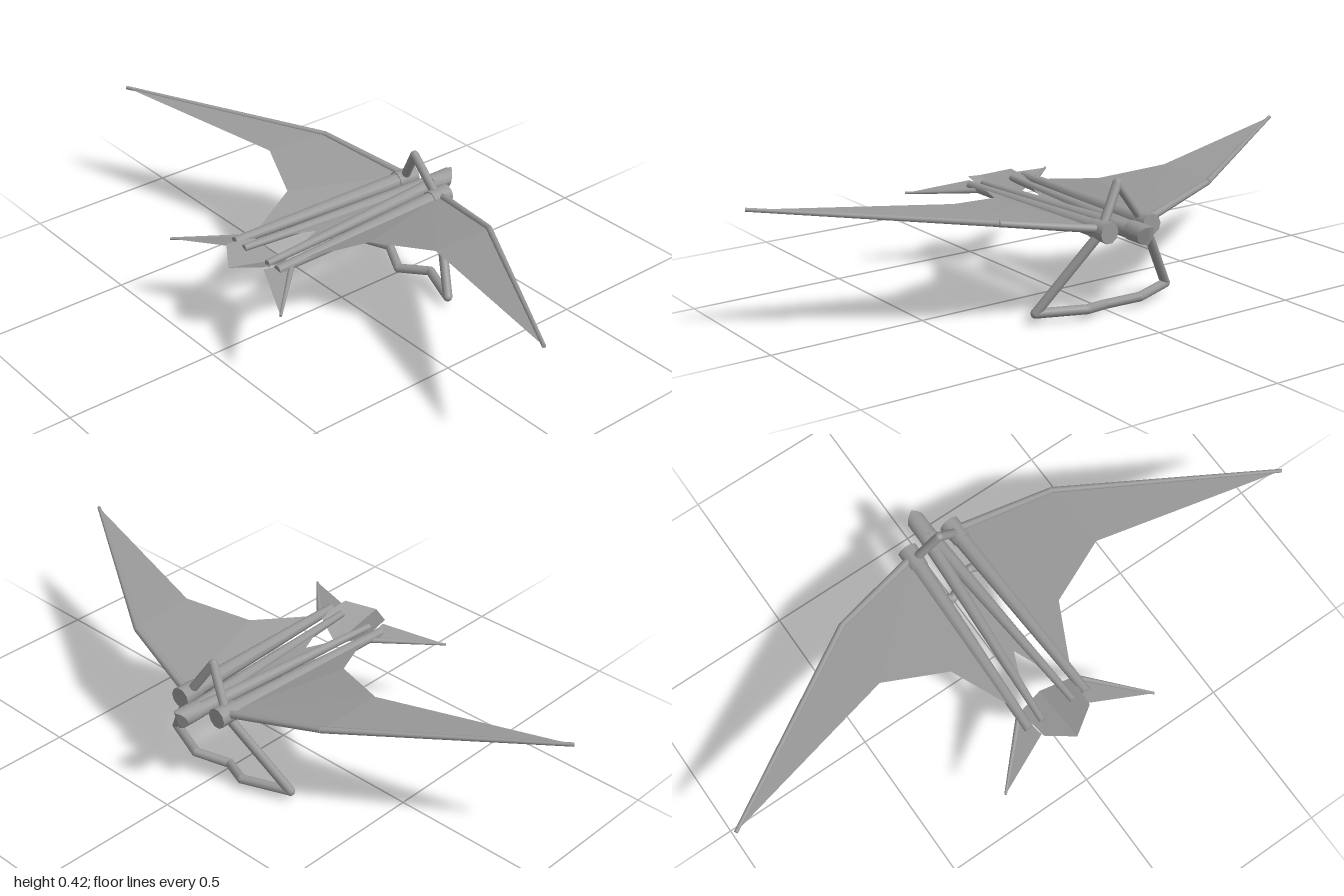
import * as THREE from 'three';

const rodMat = new THREE.MeshStandardMaterial({ color: 0x999999 });
const sailMat = new THREE.MeshStandardMaterial({ color: 0x999999, flatShading: true, side: THREE.DoubleSide });

// tapered rod between two points
function rod(name, a, b, ra, rb = ra, sides = 10) {
  const p = new THREE.Vector3(...a), q = new THREE.Vector3(...b);
  const d = q.clone().sub(p);
  const mesh = new THREE.Mesh(new THREE.CylinderGeometry(rb, ra, d.length(), sides), rodMat);
  mesh.position.copy(p).add(q).multiplyScalar(0.5);
  mesh.quaternion.setFromUnitVectors(new THREE.Vector3(0, 1, 0), d.normalize());
  mesh.name = name;
  return mesh;
}

// chain of rods with rounded joints
function chain(name, points, radius) {
  const group = new THREE.Group();
  group.name = name;
  points.forEach((p, i) => {
    if (i === 0) return;
    group.add(rod(name + 'Segment', points[i - 1], p, radius));
    if (i < points.length - 1) {
      const joint = new THREE.Mesh(new THREE.SphereGeometry(radius, 10, 6), rodMat);
      joint.position.set(...p);
      joint.name = name + 'Joint';
      group.add(joint);
    }
  });
  return group;
}

// thin cloth panel from corners and triangles
function sheet(name, corners, faces) {
  const geo = new THREE.BufferGeometry();
  geo.setAttribute('position', new THREE.Float32BufferAttribute(corners.flat(), 3));
  geo.setIndex(faces);
  geo.computeVertexNormals();
  const mesh = new THREE.Mesh(geo, sailMat);
  mesh.name = name;
  return mesh;
}

// nose cap whose front end is raked and narrowed towards the sides
function noseCap() {
  const geo = new THREE.CylinderGeometry(0.03, 0.03, 0.085, 12);
  geo.rotateZ(-Math.PI / 2);
  const pos = geo.attributes.position;
  for (let i = 0; i < pos.count; i++) {
    if (pos.getX(i) > 0) pos.setX(i, pos.getX(i) + pos.getY(i) * 0.25 - Math.abs(pos.getZ(i)) * 0.6);
  }
  geo.computeVertexNormals();
  const mesh = new THREE.Mesh(geo, rodMat);
  mesh.position.set(0.405, 0.281, 0);
  mesh.name = 'noseCap';
  return mesh;
}

export function createModel() {
  const model = new THREE.Group();
  model.name = 'hangGlider';

  for (const s of [1, -1]) {
    const side = s > 0 ? 'left' : 'right';
    const m = (x, y, z) => [x, y, z * s];

    // wing sail with a kinked leading edge and scalloped trailing edge
    const root = m(0.33, 0.29, 0.085), elbow = m(0.25, 0.34, 0.39), tip = m(-0.125, 0.397, 0.995);
    model.add(sheet(side + 'Sail',
      [root, elbow, tip, m(0.028, 0.35, 0.4), m(-0.055, 0.318, 0.2), m(-0.24, 0.29, 0.11)],
      s > 0 ? [0, 3, 1, 1, 3, 2, 0, 4, 3, 0, 5, 4] : [0, 1, 3, 1, 2, 3, 0, 3, 4, 0, 4, 5]));
    model.add(rod(side + 'InnerLeadingEdge', root, elbow, 0.013, 0.01));
    model.add(rod(side + 'OuterLeadingEdge', elbow, tip, 0.01, 0.006));

    // fuselage rods, the inner pair meeting inside the nose
    model.add(rod(side + 'OuterRod', m(-0.33, 0.283, 0.105), m(0.36, 0.283, 0.078), 0.015, 0.028));
    model.add(rod(side + 'InnerRod', m(-0.33, 0.283, 0.057), m(0.4, 0.281, 0.004), 0.011, 0.025));
    model.add(rod(side + 'Collar', m(0.29, 0.283, 0.081), m(0.362, 0.283, 0.078), 0.03, 0.033));

    // tail fin stiffened along its front edge
    const finRoot = m(-0.27, 0.279, 0.1), finTip = m(-0.449, 0.259, 0.276);
    model.add(sheet(side + 'TailFin', [m(-0.365, 0.29, 0.085), finRoot, finTip],
      s > 0 ? [0, 2, 1] : [0, 1, 2]));
    model.add(rod(side + 'TailFinEdge', finRoot, finTip, 0.009, 0.004));
  }
  model.add(noseCap());

  // small centre sail between the inner rods
  model.add(sheet('centreSail',
    [[0.3, 0.283, 0], [-0.22, 0.283, 0.05], [-0.1, 0.283, 0], [-0.22, 0.283, -0.05]],
    [0, 2, 1, 0, 3, 2]));

  // folded tail plate dipping towards the front
  model.add(sheet('tailPlate',
    [[-0.43, 0.28, 0], [-0.375, 0.3, 0.085], [-0.27, 0.283, 0.095],
      [-0.237, 0.235, 0], [-0.27, 0.283, -0.095], [-0.375, 0.3, -0.085]],
    [0, 1, 3, 1, 2, 3, 0, 3, 5, 3, 4, 5]));

  // mast above the rods
  model.add(chain('mast', [[0.322, 0.29, 0.075], [0.296, 0.409, 0], [0.322, 0.29, -0.075]], 0.0145));

  // control frame with a bent grip bar
  model.add(chain('controlFrame', [
    [0.325, 0.28, 0.08], [0.226, 0.034, 0.248], [0.285, 0.034, 0.1], [0.237, 0.016, 0],
    [0.285, 0.034, -0.1], [0.226, 0.034, -0.248], [0.325, 0.28, -0.08]], 0.015));

  return model;
}
